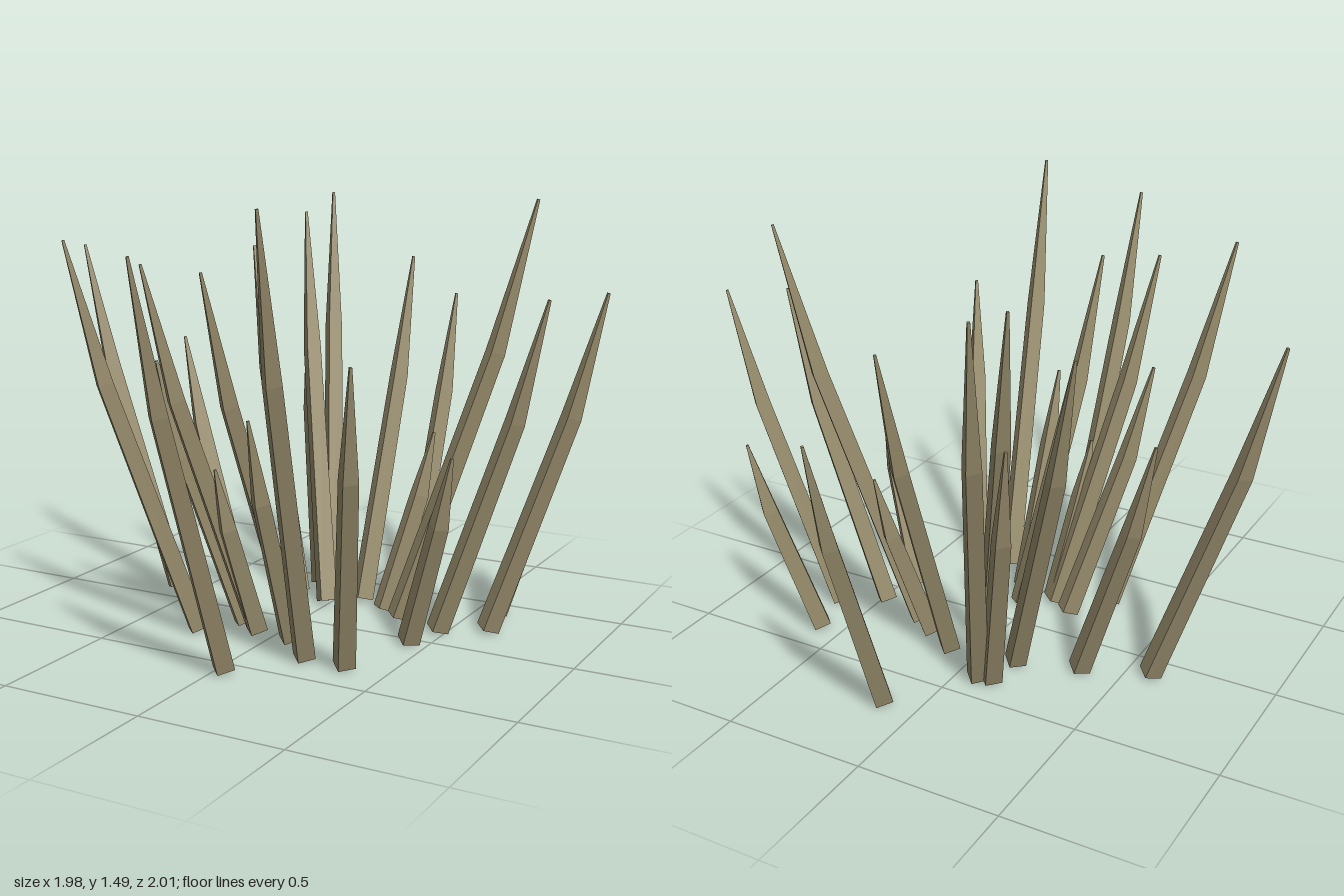
import * as THREE from 'three';

// Each blade: base x, base z, tip x, tip z, tip height
const BLADES = [
  [0.125, -0.65, 0.14, -1.0, 1.06],
  [0.10, -0.26, 0.11, -0.66, 1.23],
  [-0.07, -0.38, -0.30, -0.80, 1.45],
  [0.01, -0.18, -0.27, -0.525, 1.39],
  [-0.115, -0.37, -0.315, -0.62, 0.99],
  [-0.13, -0.24, -0.47, -0.48, 1.26],
  [-0.34, -0.18, -0.64, -0.255, 0.93],
  [-0.565, -0.095, -0.985, -0.11, 1.27],
  [-0.135, 0.125, -0.37, 0.33, 0.94],
  [-0.235, 0.265, -0.555, 0.575, 1.35],
  [-0.065, 0.165, -0.295, 0.52, 1.28],
  [-0.055, 0.18, -0.125, 0.36, 0.60],
  [0.035, 0.09, -0.095, 0.48, 1.26],
  [0.08, 0.20, 0.065, 0.465, 0.80],
  [0.035, 0.55, -0.005, 0.995, 1.355],
  [0.20, 0.33, 0.30, 0.80, 1.485],
  [0.345, 0.34, 0.51, 0.63, 1.03],
  [0.42, 0.04, 0.62, 0.135, 0.675],
  [0.455, -0.105, 0.835, -0.125, 1.165],
  [0.605, -0.19, 0.98, -0.275, 1.18],
  [0.28, -0.155, 0.705, -0.35, 1.47],
  [0.565, -0.365, 0.77, -0.485, 0.72],
  [0.205, -0.20, 0.335, -0.365, 0.64],
];
const RADII = [0.042, 0.036, 0.006];
const UP = new THREE.Vector3(0, 1, 0);

// Four-sided stalk with a knee two thirds up and a tapered tip
function bladeGeometry([bx, bz, tx, tz, height]) {
  const lean = new THREE.Vector2(tx - bx, tz - bz).normalize().multiplyScalar(0.02);
  const base = new THREE.Vector3(bx + lean.x, 0.013, bz + lean.y);
  const tip = new THREE.Vector3(tx, height, tz);
  const knee = base.clone().lerp(tip, 0.71);
  knee.y = height * 0.65;
  const lower = knee.clone().sub(base).normalize();
  const upper = tip.clone().sub(knee).normalize();
  const middle = lower.clone().add(upper).normalize();
  const centres = [base, knee, tip];
  const turns = [lower, middle, upper].map(
    (axis) => new THREE.Quaternion().setFromUnitVectors(UP, axis));

  const geometry = new THREE.CylinderGeometry(1, 1, 2, 4, 2);
  const position = geometry.attributes.position;
  const v = new THREE.Vector3();
  for (let i = 0; i < position.count; i++) {
    v.fromBufferAttribute(position, i);
    const ring = Math.round(v.y) + 1;
    v.y = 0;
    v.multiplyScalar(RADII[ring]).applyQuaternion(turns[ring]).add(centres[ring]);
    position.setXYZ(i, v.x, v.y, v.z);
  }
  const flat = geometry.toNonIndexed();
  flat.computeVertexNormals();
  return flat;
}

export function createModel() {
  const group = new THREE.Group();
  group.name = 'grassTuft';
  const dryGrass = new THREE.MeshStandardMaterial({ color: 0x968b6b, flatShading: true });
  dryGrass.name = 'dryGrass';
  BLADES.forEach((blade, i) => {
    const mesh = new THREE.Mesh(bladeGeometry(blade), dryGrass);
    mesh.name = `blade${i + 1}`;
    group.add(mesh);
  });
  return group;
}
